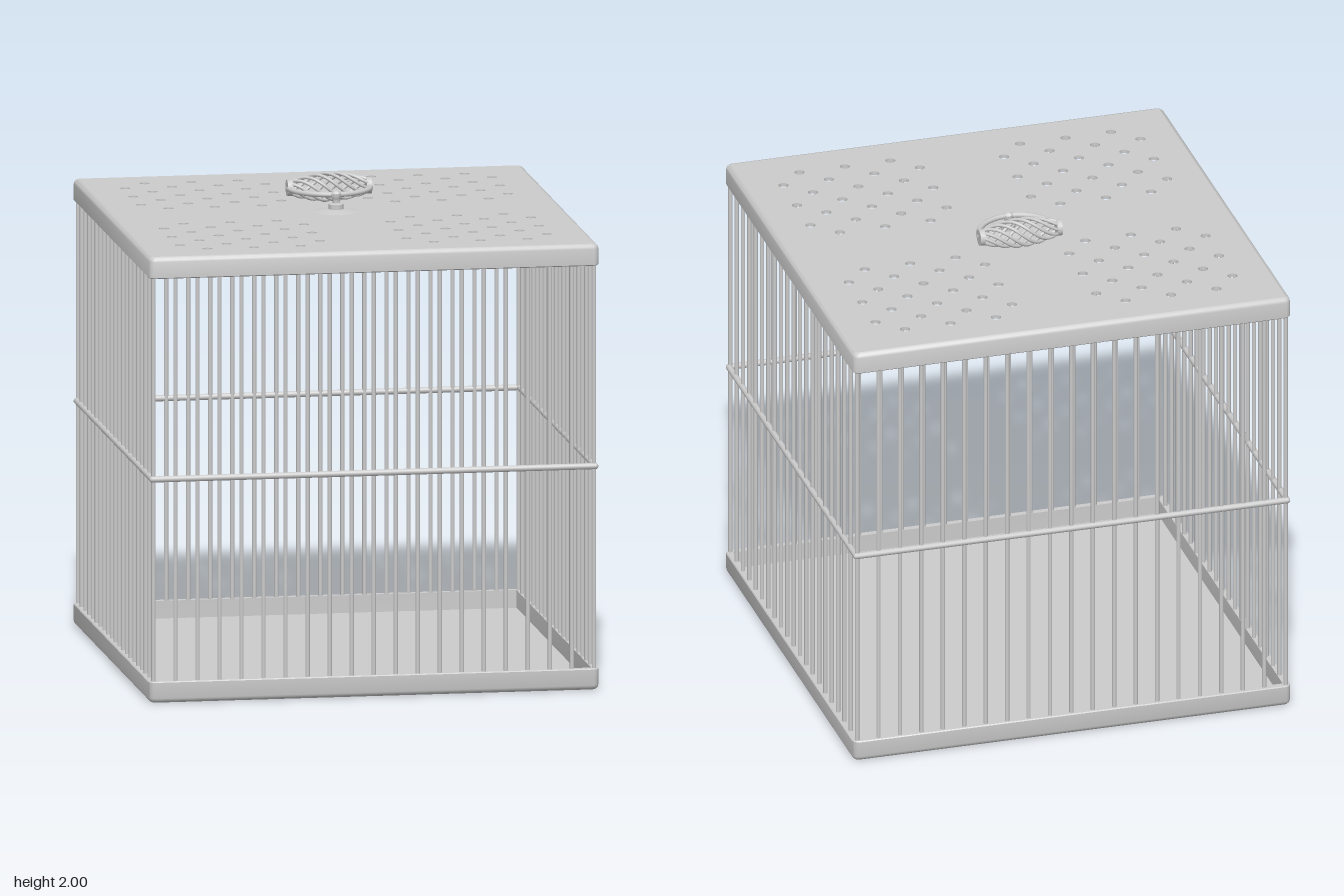
import * as THREE from 'three';
import { toCreasedNormals } from 'three/addons/utils/BufferGeometryUtils.js';

const HALF = 0.94, CORNER = 0.03, PLATE = 0.016, WALL = 0.03, BAR = 0.92;
const material = new THREE.MeshStandardMaterial({ color: 0xcccccc });

function add(parent, name, geometry, x = 0, y = 0, z = 0) {
  const mesh = new THREE.Mesh(geometry, material);
  mesh.name = name;
  mesh.position.set(x, y, z);
  parent.add(mesh);
  return mesh;
}

// Outline of a square with rounded corners, inset from the outer edge
function roundedSquare(inset) {
  const r = Math.max(CORNER - inset, 0.004), c = HALF - inset - r, points = [];
  for (let k = 0; k < 4; k++) {
    const mid = Math.PI / 4 + k * Math.PI / 2;
    for (let s = 0; s <= 5; s++) {
      const a = k * Math.PI / 2 + s * Math.PI / 10;
      points.push(new THREE.Vector2(
        Math.sign(Math.cos(mid)) * c + r * Math.cos(a),
        Math.sign(Math.sin(mid)) * c + r * Math.sin(a)));
    }
  }
  return points;
}

// Tray wall: rounded squares joined along an [inset, height] profile
function wallGeometry() {
  const profile = [[0.02, 0], [0.01, 0.003], [0.003, 0.01], [0, 0.02],
    [0, 0.086], [0.004, 0.09], [WALL, 0.09], [WALL, PLATE]];
  const position = [], index = [];
  const n = roundedSquare(0).length;
  profile.forEach(([inset, y], j) => {
    roundedSquare(inset).forEach((p, i) => {
      position.push(p.x, y, p.y);
      if (j === profile.length - 1) return;
      const a = j * n + i, b = j * n + (i + 1) % n;
      index.push(a, a + n, b, b, a + n, b + n);
    });
  });
  const g = new THREE.BufferGeometry();
  g.setAttribute('position', new THREE.Float32BufferAttribute(position, 3));
  g.setIndex(index);
  return toCreasedNormals(g, 0.6);
}

// Staggered vent holes, mirrored into the four quarters
function ventHoles() {
  const holes = [];
  for (let row = 0; row < 7; row++) {
    for (let col = 0; col < 7; col++) {
      if ((row + col) % 2 === 0) continue;
      for (const sx of [-1, 1]) for (const sz of [-1, 1]) {
        const x = sx * (0.181 + col * 0.0975), z = sz * (0.181 + row * 0.0975);
        holes.push(new THREE.Path().absarc(x, z, 0.021, 0, Math.PI * 2, true));
      }
    }
  }
  return holes;
}

function createTray(name, holes) {
  const tray = new THREE.Group();
  tray.name = name;
  const shape = new THREE.Shape(roundedSquare(0.02));
  shape.holes = holes;
  const plate = new THREE.ExtrudeGeometry(shape, { depth: PLATE, bevelEnabled: false, curveSegments: 8 });
  plate.rotateX(-Math.PI / 2);
  add(tray, name + 'Plate', plate);
  add(tray, name + 'Wall', wallGeometry());
  return tray;
}

// Evenly spaced bars along all four sides
function createBars() {
  const bars = new THREE.Group();
  bars.name = 'bars';
  const geometry = new THREE.CylinderGeometry(0.009, 0.009, 1.83, 10);
  for (let side = 0; side < 4; side++) {
    const a = side * Math.PI / 2;
    for (let i = 0; i < 20; i++) {
      const p = new THREE.Vector3(-BAR + i * BAR / 10, 0.93, BAR).applyAxisAngle(new THREE.Vector3(0, 1, 0), a);
      add(bars, 'bar', geometry, p.x, p.y, p.z);
    }
  }
  return bars;
}

// Middle rail running round the cage
function createRail() {
  const rail = new THREE.Group(), r = 0.013, c = 0.925;
  rail.name = 'middleRail';
  rail.position.y = 0.935;
  const rod = new THREE.CylinderGeometry(r, r, 2 * c, 12).rotateZ(Math.PI / 2);
  const ball = new THREE.SphereGeometry(r, 12, 8);
  for (let side = 0; side < 4; side++) {
    const part = new THREE.Group();
    part.name = 'railSide';
    part.rotation.y = side * Math.PI / 2;
    add(part, 'railRod', rod, 0, 0, c);
    add(part, 'railCorner', ball, c, 0, c);
    rail.add(part);
  }
  return rail;
}

// Folded carrying handle with a twisted wire grip
function createHandle() {
  const handle = new THREE.Group();
  handle.name = 'handle';
  const gripY = 1.937, gripZ = -0.172, gripX = 0.165;

  const post = [[0, 1.855], [0.09, 1.855], [0.09, 1.865], [0.06, 1.872], [0.03, 1.875], [0.03, 1.895],
    [0.015, 1.9], [0.015, 1.915], [0.021, 1.925], [0.021, 1.94], [0.012, 1.95], [0, 1.952]];
  const lathe = new THREE.LatheGeometry(post.map(([x, y]) => new THREE.Vector2(x, y)), 32);
  add(handle, 'handlePost', toCreasedNormals(lathe, 0.6));

  // Half-round bow from one end of the grip to the other
  const bowPoints = [];
  for (let i = 0; i <= 20; i++) {
    const a = i / 20 * Math.PI;
    bowPoints.push(new THREE.Vector3(0.17 * Math.cos(a), 1.934, gripZ + 0.17 * Math.sin(a)));
  }
  add(handle, 'handleBow', new THREE.TubeGeometry(new THREE.CatmullRomCurve3(bowPoints), 40, 0.011, 10));

  const cap = new THREE.CylinderGeometry(0.034, 0.034, 0.022, 20).rotateZ(Math.PI / 2);
  for (const s of [-1, 1]) add(handle, 'gripCap', cap, s * gripX, gripY, gripZ);

  // Wires twist around the grip and bulge in the middle
  const wires = 8;
  for (let w = 0; w < wires; w++) {
    const points = [];
    for (let i = 0; i <= 16; i++) {
      const t = i / 16, a = (w / wires + t * 0.8) * Math.PI * 2;
      const r = 0.026 + 0.03 * Math.sin(t * Math.PI);
      points.push(new THREE.Vector3((2 * t - 1) * gripX, gripY + r * Math.cos(a), gripZ + r * Math.sin(a)));
    }
    add(handle, 'gripWire', new THREE.TubeGeometry(new THREE.CatmullRomCurve3(points), 36, 0.007, 8));
  }
  return handle;
}

export function createModel() {
  const model = new THREE.Group();
  model.name = 'cage';
  const lid = createTray('lid', ventHoles());
  lid.rotation.x = Math.PI;
  lid.position.y = 1.865;
  model.add(createTray('base', []), lid, createBars(), createRail(), createHandle());
  return model;
}
